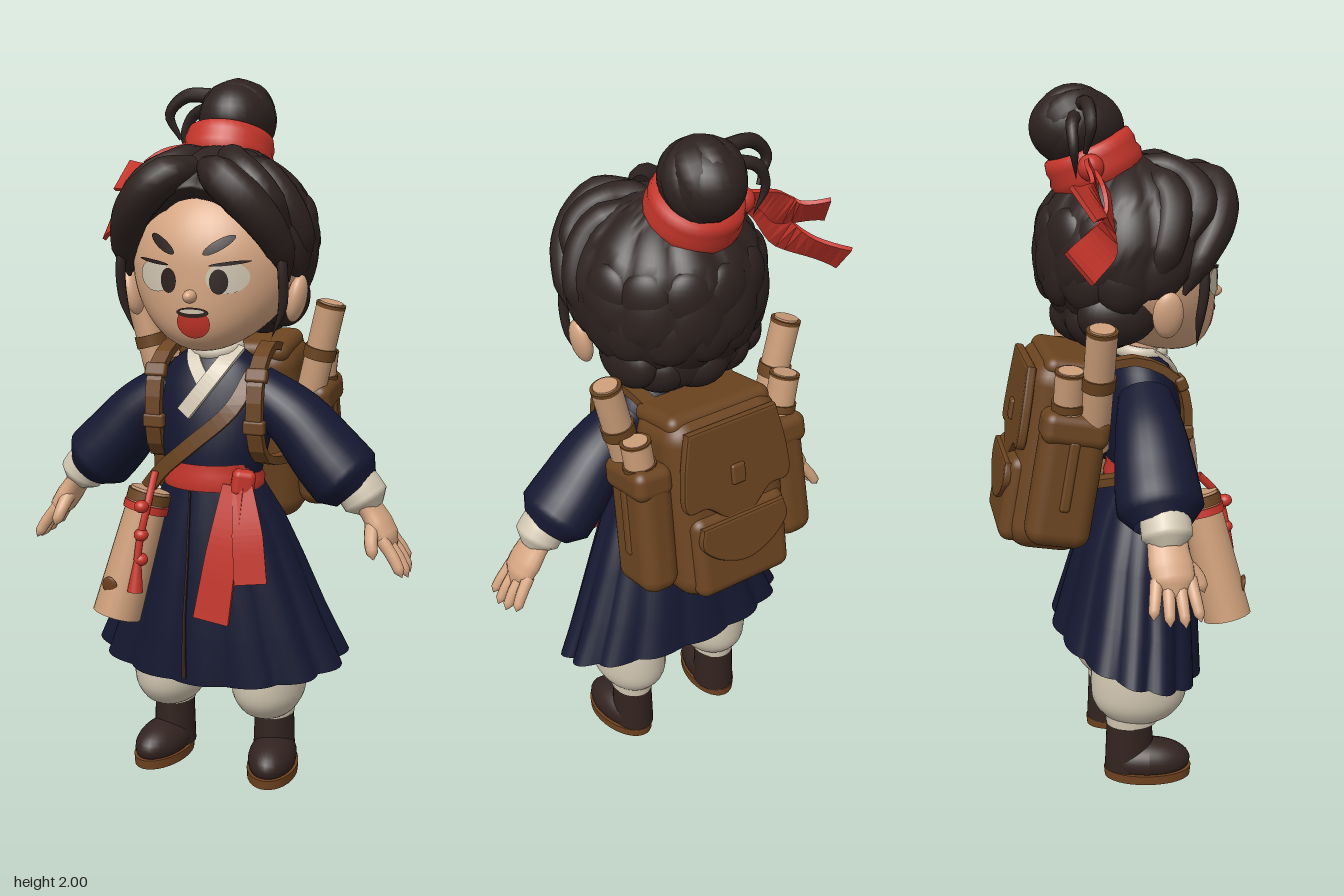
import * as THREE from 'three';
import { mergeVertices } from 'three/addons/utils/BufferGeometryUtils.js';
import { RoundedBoxGeometry } from 'three/addons/geometries/RoundedBoxGeometry.js';

const mat = (name, color) => {
  const m = new THREE.MeshStandardMaterial({ color, side: THREE.DoubleSide });
  m.name = name;
  return m;
};
const V = (p) => new THREE.Vector3(...p);
const lerpList = (list, t) => {
  const f = t * (list.length - 1), i = Math.min(Math.floor(f), list.length - 2);
  return list[i] + (list[i + 1] - list[i]) * (f - i);
};

export function createModel() {
  const skin = mat('skin', 0xd6a682), hair = mat('hair', 0x2d2220), navy = mat('navy cloth', 0x151831);
  const red = mat('red cloth', 0xc5352a), cream = mat('cream cloth', 0xd2c7b2), leather = mat('leather', 0x6b4420);
  const boot = mat('boot leather', 0x32231f), sole = mat('sole', 0x70431f), paper = mat('parchment', 0xcb9d78);
  const model = new THREE.Group();

  const add = (name, geo, material, pos = [0, 0, 0], scale = [1, 1, 1], rot = [0, 0, 0], parent = model) => {
    const m = new THREE.Mesh(geo, material);
    m.name = name;
    m.position.set(...pos); m.scale.set(...scale); m.rotation.set(...rot);
    parent.add(m);
    return m;
  };
  const ball = (name, material, pos, scale, rot) => add(name, new THREE.SphereGeometry(1, 28, 18), material, pos, scale, rot);

  // Skin closed rings of points into a surface
  const loft = (rings, cap = false, flat = false) => {
    const n = rings[0].length, pos = rings.flat(2), idx = [];
    for (let i = 0; i < rings.length - 1; i++) for (let j = 0; j < n; j++) {
      const a = i * n + j, b = i * n + (j + 1) % n;
      idx.push(a, a + n, b, b, a + n, b + n);
    }
    if (cap) for (let j = 1; j < n - 1; j++) {
      const e = (rings.length - 1) * n;
      idx.push(0, j, j + 1, e, e + j + 1, e + j);
    }
    let g = new THREE.BufferGeometry();
    g.setAttribute('position', new THREE.Float32BufferAttribute(pos, 3));
    g.setIndex(idx);
    if (flat) g = g.toNonIndexed();
    g.computeVertexNormals();
    return g;
  };

  // Tube whose radius follows a list; zs stretches the section along z
  const tube = (name, material, pts, radii, zs = 1, seg = 20, sides = 12) => {
    const curve = new THREE.CatmullRomCurve3(pts.map(V));
    let g = new THREE.TubeGeometry(curve, seg, 1, sides);
    const p = g.attributes.position;
    for (let i = 0; i <= seg; i++) {
      const c = curve.getPointAt(i / seg), r = Math.max(lerpList(radii, i / seg), 1e-4);
      for (let j = 0; j <= sides; j++) {
        const k = i * (sides + 1) + j;
        p.setXYZ(k, c.x + (p.getX(k) - c.x) * r, c.y + (p.getY(k) - c.y) * r, c.z + (p.getZ(k) - c.z) * r * zs);
      }
    }
    g.deleteAttribute('uv'); g.deleteAttribute('normal');
    g = mergeVertices(g, 1e-5);
    g.computeVertexNormals();
    return add(name, g, material);
  };

  // Flat strap lying on a surface that faces along `facing`
  const strap = (name, material, pts, widths, facing, thick = 0.012) => {
    const curve = new THREE.CatmullRomCurve3(pts.map(V)), rings = [];
    for (let i = 0; i <= 16; i++) {
      const c = curve.getPointAt(i / 16), t = curve.getTangentAt(i / 16);
      const s = facing === 'x' ? V([1, 0, 0]) : t.clone().cross(V(facing)).normalize();
      const n = t.clone().cross(s).multiplyScalar(thick / 2);
      s.multiplyScalar(lerpList(widths, i / 16) / 2);
      rings.push([[1, 1], [1, -1], [-1, -1], [-1, 1]].map(([a, b]) => c.clone().addScaledVector(s, a).addScaledVector(n, b).toArray()));
    }
    return add(name, loft(rings, true, true), material);
  };

  // Straight rod between two points
  const rod = (name, material, a, b, r, r2 = r) => {
    const d = V(b).sub(V(a));
    const m = add(name, new THREE.CylinderGeometry(r2, r, d.length(), 20), material, V(a).addScaledVector(d, 0.5).toArray());
    m.quaternion.setFromUnitVectors(V([0, 1, 0]), d.normalize());
    return m;
  };
  const mix = (a, b, t) => V(a).lerp(V(b), t).toArray();

  // Head with a narrow, forward chin
  const low = (y) => (y < 1.5 ? ((1.5 - y) / 0.235) ** 2 : 0);
  const faceZ = (x, y) => 0.07 + 0.1 * low(y) + 0.215 * Math.sqrt(Math.max(0, 1 - (x / 0.235) ** 2 - ((y - 1.5) / 0.235) ** 2));
  const headGeo = new THREE.SphereGeometry(1, 48, 36).scale(0.235, 0.235, 0.215).translate(0, 1.5, 0.07);
  const hp = headGeo.attributes.position;
  for (let i = 0; i < hp.count; i++) {
    const k = low(hp.getY(i));
    hp.setX(i, hp.getX(i) * (1 - 0.12 * k));
    hp.setZ(i, hp.getZ(i) + 0.1 * k);
  }
  headGeo.computeVertexNormals();
  add('head', headGeo, skin);
  ball('nose', skin, [0.005, 1.425, 0.287], [0.018, 0.018, 0.026]);
  rod('neck', skin, [0, 1.18, 0.08], [0, 1.36, 0.09], 0.056);

  // Painted face plates that follow the face
  const plate = (name, material, x, y, rx, ry, tilt, off) => {
    const g = new THREE.RingGeometry(0.001, 1, 24, 4).scale(rx, ry, 1).rotateZ(tilt).translate(x, y, 0);
    const p = g.attributes.position;
    for (let i = 0; i < p.count; i++) p.setZ(i, faceZ(p.getX(i), p.getY(i)) + off);
    g.computeVertexNormals();
    add(name, g, material);
  };
  for (const s of [-1, 1]) {
    plate('eyeWhite', cream, s * 0.102, 1.475, 0.054, 0.042, s * 0.1, 0.003);
    plate('iris', hair, 0.012 + s * 0.07, 1.465, 0.024, 0.033, 0, 0.005);
    plate('upperLash', hair, s * 0.108, 1.513, 0.052, 0.005, s * 0.12, 0.006);
    plate('eyebrow', hair, s * 0.08, 1.56, 0.046, 0.014, s * 0.55, 0.005);
    ball('ear', skin, [s * 0.242, 1.41, 0.1], [0.026, 0.066, 0.042], [0, 0, -s * 0.2]);
  }
  plate('mouth', red, 0.01, 1.353, 0.046, 0.042, 0, 0.003);
  plate('mouthShadow', boot, 0.01, 1.382, 0.045, 0.014, 0, 0.005);
  plate('teeth', cream, 0.01, 1.385, 0.034, 0.006, 0, 0.007);

  // Hair shell, its lower edge set by the angle away from the front
  const edge = [53, 57, 65, 77, 92, 109, 112, 128, 140, 147, 150, 152, 152];
  const hairRings = [];
  for (let i = 0; i <= 30; i++) {
    const ring = [];
    for (let j = 0; j < 120; j++) {
      const a = (j / 120) * Math.PI * 2, aa = Math.abs(a > Math.PI ? a - 2 * Math.PI : a) / Math.PI;
      const t = Math.min(i / 29, 1), ph = THREE.MathUtils.degToRad(lerpList(edge, aa)) * t;
      const lock = 0.05 * (Math.sqrt(Math.abs(Math.sin(a * 6 + Math.sin(ph * 4) * 0.25))) - 0.8) * Math.sin(ph);
      const layer = 0.035 * (((t * 4 + 0.25 * Math.abs(Math.sin(a * 6))) % 1) - 0.5) * aa;
      const k = (1 + lock + layer) * (i === 30 ? 0.82 : 1);
      ring.push([0.275 * k * Math.sin(ph) * Math.sin(a), 1.55 + 0.265 * k * Math.cos(ph), 0.045 + 0.272 * k * Math.sin(ph) * Math.cos(a)]);
    }
    hairRings.push(ring);
  }
  add('hairShell', loft(hairRings), hair);
  for (const s of [-1, 1]) {
    tube('frontLock', hair, [[s * 0.015, 1.76, 0.19], [s * 0.085, 1.73, 0.258], [s * 0.175, 1.645, 0.245], [s * 0.222, 1.55, 0.19], [s * 0.232, 1.46, 0.145]], [0.03, 0.053, 0.056, 0.05, 0.04, 0.005]);
    tube('crownLock', hair, [[s * 0.03, 1.785, 0.02], [s * 0.08, 1.765, 0.15], [s * 0.17, 1.7, 0.2], [s * 0.235, 1.58, 0.14]], [0.02, 0.045, 0.05, 0.045, 0.01]);
    tube('sideLock', hair, [[s * 0.06, 1.78, 0.06], [s * 0.18, 1.7, 0.12], [s * 0.238, 1.6, 0.1], [s * 0.24, 1.47, 0.05]], [0.02, 0.055, 0.052, 0.045, 0.01]);
    tube('tendril', hair, [[s * 0.225, 1.58, 0.2], [s * 0.235, 1.47, 0.2], [s * 0.23, 1.39, 0.19], [s * 0.2, 1.31, 0.19]], [0.013, 0.015, 0.013, 0], 1, 16, 8);
  }
  // Overlapping tufts down the back and nape
  for (let row = 0; row < 3; row++) for (let i = 0; i < 6; i++) {
    const a = Math.PI + (i - 2.5) * 0.46 + (row % 2 ? 0.12 : -0.12), ph = [1.35, 1.8, 2.25][row], k = 0.86;
    ball('hairTuft', hair, [0.275 * k * Math.sin(ph) * Math.sin(a), 1.55 + 0.265 * k * Math.cos(ph), 0.045 + 0.272 * k * Math.sin(ph) * Math.cos(a)],
      [0.075, 0.085, 0.042], [0, a, 0]);
  }
  for (const [x, y, r] of [[0, 1.375, 0.1], [-0.1, 1.375, 0.085], [0.1, 1.375, 0.085], [-0.17, 1.4, 0.065], [0.17, 1.4, 0.065]])
    ball('napeTuft', hair, [x, y, -0.075 + Math.abs(x) * 0.3], [r, 0.085, 0.11]);

  // Topknot with wrapped locks, loose strands and ribbon
  ball('bun', hair, [-0.005, 1.885, -0.105], [0.106, 0.106, 0.13]);
  for (let i = 0; i < 4; i++)
    add('bunLock', new THREE.TorusGeometry(0.068, 0.045, 12, 28), hair, [-0.005, 1.887, -0.112], [1, 1, 1.2], [0.5 + i * 0.2, i * 0.785, 0.2]);
  tube('looseLoop', hair, [[-0.07, 1.95, -0.1], [-0.16, 1.95, -0.1], [-0.21, 1.9, -0.1], [-0.18, 1.83, -0.11]], [0.022, 0.02, 0.016, 0.006], 1, 18, 8);
  tube('looseStrand', hair, [[-0.08, 1.92, -0.12], [-0.15, 1.9, -0.14], [-0.18, 1.84, -0.14], [-0.15, 1.76, -0.13]], [0.02, 0.017, 0.012, 0], 1, 18, 8);
  add('hairBand', loft([[-0.05, 0.116], [-0.045, 0.127], [-0.015, 0.132], [0, 0.125], [0.02, 0.128], [0.045, 0.122], [0.052, 0.1]].map(([y, r]) =>
    Array.from({ length: 36 }, (_, j) => [r * Math.sin(j * Math.PI / 18), y, r * 1.02 * Math.cos(j * Math.PI / 18)]))), red, [-0.015, 1.795, -0.062], [1, 1, 1], [-0.42, 0, 0]);
  ball('ribbonKnot', red, [-0.145, 1.79, -0.09], [0.033, 0.036, 0.035]);
  strap('ribbonTail', red, [[-0.14, 1.8, -0.09], [-0.22, 1.775, -0.1], [-0.29, 1.725, -0.1], [-0.385, 1.725, -0.15]], [0.04, 0.07, 0.095, 0.105], [0.2, 0.6, 1]);
  strap('ribbonTail', red, [[-0.14, 1.78, -0.08], [-0.22, 1.74, -0.065], [-0.31, 1.64, -0.075], [-0.44, 1.575, -0.17]], [0.04, 0.07, 0.095, 0.105], [0.2, 0.8, 1]);

  // Tunic body and pleated skirt; each row is y, half width, centre z, half depth
  const oval = ([y, rx, cz, rz], n, pleat = 0, tilt = 0) => Array.from({ length: n }, (_, j) => {
    const a = (j / n) * Math.PI * 2, k = 1 + pleat * (Math.abs(Math.cos(a * 7)) - 0.6);
    return [rx * k * Math.sin(a), y - tilt * Math.cos(a), cz + rz * k * Math.cos(a)];
  });
  add('tunic', loft([[0.88, 0.13, 0.095, 0.105], [0.98, 0.155, 0.09, 0.12], [1.09, 0.175, 0.075, 0.12], [1.17, 0.17, 0.07, 0.105],
    [1.22, 0.13, 0.07, 0.085], [1.265, 0.07, 0.075, 0.065]].map((r) => oval(r, 40))), navy);
  const skirtRows = [[0.93, 0.125, 0.098, 0.1], [0.88, 0.145, 0.09, 0.115], [0.78, 0.2, 0.075, 0.145], [0.66, 0.25, 0.06, 0.17], [0.5, 0.315, 0.045, 0.195], [0.37, 0.375, 0.03, 0.212]];
  const skirtRings = skirtRows.map((r, i) => oval(r, 112, 0.014 * i, 0.0115 * i));
  add('skirt', loft(skirtRings), navy);
  strap('skirtOpening', boot, [[-0.03, 0.87, 0.208], [-0.03, 0.66, 0.232], [-0.035, 0.5, 0.244], [-0.035, 0.33, 0.248]], [0.004, 0.006, 0.012], [0, 0, 1], 0.008);
  strap('collarUnder', cream, [[-0.055, 1.275, 0.1], [-0.035, 1.23, 0.155], [0.005, 1.17, 0.182]], [0.035, 0.04], [0, 0.5, 1]);
  strap('collarOver', cream, [[0.07, 1.27, 0.09], [0.045, 1.22, 0.162], [0, 1.155, 0.192], [-0.05, 1.09, 0.2]], [0.045, 0.045], [0, 0.4, 1]);
  add('collarBack', new THREE.TorusGeometry(0.065, 0.014, 10, 32), cream, [0, 1.262, 0.075], [1, 1, 1.4], [Math.PI / 2 + 0.15, 0, 0]);

  // Sash with knot and tails
  add('sash', loft([[0.875, 0.145, 0.095, 0.122], [0.9, 0.148, 0.095, 0.126], [0.92, 0.138, 0.095, 0.12], [0.95, 0.14, 0.095, 0.119]].map((r) => oval(r, 40))), red);
  add('sashKnot', new RoundedBoxGeometry(0.065, 0.075, 0.05, 3, 0.018), red, [0.122, 0.905, 0.192], [1, 1, 1], [0, 0.45, -0.15]);
  strap('sashTail', red, [[0.1, 0.9, 0.21], [0.085, 0.75, 0.245], [0.055, 0.52, 0.268]], [0.06, 0.09, 0.105], [0, 0.1, 1]);
  strap('sashTail', red, [[0.125, 0.9, 0.205], [0.15, 0.77, 0.235], [0.165, 0.635, 0.25]], [0.055, 0.085, 0.09], [0.3, 0.1, 1]);

  for (const s of [-1, 1]) {
    // Arm: sleeve, cuff and hand
    tube('sleeve', navy, [[s * 0.115, 1.155, 0.065], [s * 0.235, 1.065, 0.058], [s * 0.325, 0.965, 0.055], [s * 0.408, 0.878, 0.055]], [0.066, 0.073, 0.08, 0.086, 0.091, 0.096, 0.1, 0.103, 0.104, 0.07], 1.14, 27, 28);
    tube('cuff', cream, [[s * 0.38, 0.93, 0.06], [s * 0.42, 0.88, 0.06], [s * 0.455, 0.83, 0.06]], [0.06, 0.064, 0.066, 0.066, 0.035], 1.05, 16, 20);
    tube('palm', skin, [[s * 0.43, 0.86, 0.06], [s * 0.465, 0.81, 0.06], [s * 0.5, 0.755, 0.065], [s * 0.52, 0.72, 0.065]], [0.032, 0.032, 0.035, 0.033, 0.012], 1.75, 16, 16);
    for (let i = 0; i < 4; i++) {
      const z = 0.018 + i * 0.03, reach = [0.8, 0.96, 1, 0.9][i], tip = z + (i - 1.5) * 0.012;
      tube('finger', skin, [[s * 0.495, 0.76, z + 0.002], [s * (0.49 + 0.047 * reach), 0.76 - 0.055 * reach, (z + tip) / 2], [s * (0.49 + 0.078 * reach), 0.76 - 0.11 * reach, tip]], [0.018, 0.018, 0.017, 0.017, 0.016, 0.015, 0], 1, 12, 10);
    }
    tube('thumb', skin, [[s * 0.465, 0.8, 0.09], [s * 0.472, 0.755, 0.135], [s * 0.485, 0.71, 0.152]], [0.022, 0.021, 0.02, 0.019, 0.018, 0.016, 0], 1, 12, 10);

    // Leg: baggy trousers, ankle cuff and boot
    const profile = [[0.06, 0.185], [0.082, 0.205], [0.104, 0.25], [0.108, 0.32], [0.103, 0.42], [0.09, 0.62]].map(([r, y]) => new THREE.Vector2(r, y));
    add('trouserLeg', new THREE.LatheGeometry(new THREE.SplineCurve(profile).getPoints(20), 32), cream, [s * 0.153, 0, 0.045], [1, 1, 1.32]);
    add('ankleCuff', new THREE.CylinderGeometry(0.066, 0.063, 0.045, 28), cream, [s * 0.158, 0.195, 0.022], [1, 1, 1.2]);
    add('bootShaft', new THREE.CylinderGeometry(0.057, 0.062, 0.16, 28), boot, [s * 0.16, 0.105, 0.015], [1, 1, 1.18]);
    const footGeo = new THREE.SphereGeometry(1, 28, 18).scale(0.07, 0.062, 0.125);
    const fp = footGeo.attributes.position;
    for (let i = 0; i < fp.count; i++) fp.setY(i, Math.max(fp.getY(i), -0.025));
    footGeo.computeVertexNormals();
    add('bootFoot', footGeo, boot, [s * 0.173, 0.05, 0.07], [1, 1, 1], [0, s * 0.14, 0]);
    add('bootSole', new THREE.CylinderGeometry(1, 0.98, 0.028, 32), sole, [s * 0.173, 0.014, 0.068], [0.074, 1, 0.13], [0, s * 0.14, 0]);

    // Shoulder strap with buckles
    strap('shoulderStrap', leather, [[s * 0.13, 1.25, -0.06], [s * 0.14, 1.265, 0.04], [s * 0.148, 1.2, 0.155], [s * 0.15, 1.05, 0.175], [s * 0.155, 0.97, 0.14], [s * 0.17, 0.94, 0.02], [s * 0.17, 0.93, -0.09]], [0.045, 0.045], 'x', 0.024);
    for (const y of [1.2, 1.06])
      add('strapBuckle', new RoundedBoxGeometry(0.062, 0.04, 0.03, 2, 0.008), leather, [s * 0.149, y, y > 1.1 ? 0.158 : 0.177], [1, 1, 1], [y > 1.1 ? -0.4 : 0, 0, 0]);
  }
  strap('crossStrap', leather, [[0.13, 1.2, 0.14], [0.09, 1.11, 0.195], [-0.03, 1, 0.217], [-0.11, 0.93, 0.21], [-0.16, 0.87, 0.2]], [0.042, 0.042], [0, 0.1, 1], 0.018);

  // Backpack, leaning with the back
  const pack = new THREE.Group();
  pack.name = 'backpack';
  pack.position.set(0, 0.995, -0.178);
  pack.rotation.x = 0.18;
  model.add(pack);
  const box = (name, size, pos, rot, r = 0.03) => add(name, new RoundedBoxGeometry(...size, 4, r), leather, pos, [1, 1, 1], rot, pack);
  box('packBody', [0.37, 0.55, 0.23], [0, 0, -0.005], [0, 0, 0], 0.07);
  box('packLid', [0.34, 0.06, 0.19], [0, 0.255, 0.005]);
  const panel = (name, pts, depth, z) => {
    const shape = new THREE.Shape().moveTo(...pts[0]);
    shape.lineTo(...pts[1]);
    shape.splineThru([...pts.slice(2), pts[0]].map(([x, y]) => new THREE.Vector2(x, y)));
    add(name, new THREE.ExtrudeGeometry(shape, { depth, bevelSize: 0.008, bevelThickness: 0.008, bevelSegments: 2, curveSegments: 20 }), leather, [0, 0, z], [1, 1, 1], [0, 0, 0], pack);
  };
  panel('packFlap', [[-0.14, 0.24], [0.14, 0.24], [0.165, 0.12], [0.165, 0.03], [0.1, 0.02], [0, -0.05], [-0.1, 0.02], [-0.165, 0.03], [-0.165, 0.12]], 0.012, -0.128);
  box('packPocket', [0.31, 0.25, 0.07], [0, -0.135, -0.105], [0, 0, 0], 0.034);
  panel('pocketFlap', [[-0.13, -0.04], [0.13, -0.04], [0.135, -0.09], [0.08, -0.14], [0, -0.165], [-0.08, -0.14], [-0.135, -0.09]], 0.01, -0.144);
  box('flapBuckle', [0.045, 0.06, 0.02], [0, 0.09, -0.135], [0, 0, 0], 0.008);
  for (const s of [-1, 1]) {
    box('sidePocket', [0.115, 0.38, 0.18], [s * 0.228, -0.03, 0.005], [0, 0, s * 0.04], 0.045);
    box('sidePocketFlap', [0.12, 0.09, 0.185], [s * 0.228, 0.115, 0.005], [0, 0, s * 0.04]);
    box('sidePocketStrap', [0.122, 0.2, 0.03], [s * 0.23, -0.01, 0.005], [0, 0, s * 0.04], 0.01);
  }

  // Rolled scrolls carried in the side pockets
  for (const [a, b] of [[[-0.225, 1.05, -0.1], [-0.312, 1.39, -0.09]], [[-0.215, 1.05, -0.175], [-0.255, 1.27, -0.165]],
    [[0.21, 1.05, -0.1], [0.285, 1.375, -0.09]], [[0.225, 1.05, -0.18], [0.245, 1.23, -0.165]]]) {
    rod('scroll', paper, a, b, 0.042);
    rod('scrollTie', leather, mix(a, b, 0.52), mix(a, b, 0.62), 0.047);
    rod('scrollRim', leather, mix(a, b, 0.975), mix(a, b, 1.005), 0.043);
    rod('scrollCore', paper, b, mix(a, b, 1.02), 0.034);
  }

  // Map roll and red cord at the right hip
  const top = [-0.145, 0.87, 0.215], end = [-0.222, 0.515, 0.29];
  rod('mapRoll', paper, top, end, 0.056, 0.069);
  rod('mapCore', sole, end, mix(top, end, 1.008), 0.045);
  rod('mapBand', leather, mix(top, end, 0.02), mix(top, end, 0.1), 0.062);
  rod('mapCord', red, mix(top, end, 0.11), mix(top, end, 0.17), 0.064);
  ball('mapStain', sole, [-0.222, 0.61, 0.331], [0.024, 0.03, 0.008], [0.2, -0.1, 0]);
  tube('cord', red, [[-0.13, 0.92, 0.22], [-0.125, 0.85, 0.28], [-0.14, 0.75, 0.305], [-0.145, 0.69, 0.315]], [0.011, 0.011], 1, 14, 8);
  for (const y of [0.84, 0.76, 0.69]) ball('cordKnot', red, [-0.138, y, 0.34 - y * 0.05], [0.02, 0.018, 0.02]);
  rod('tassel', red, [-0.145, 0.69, 0.312], [-0.15, 0.6, 0.322], 0.01, 0.022);
  return model;
}
